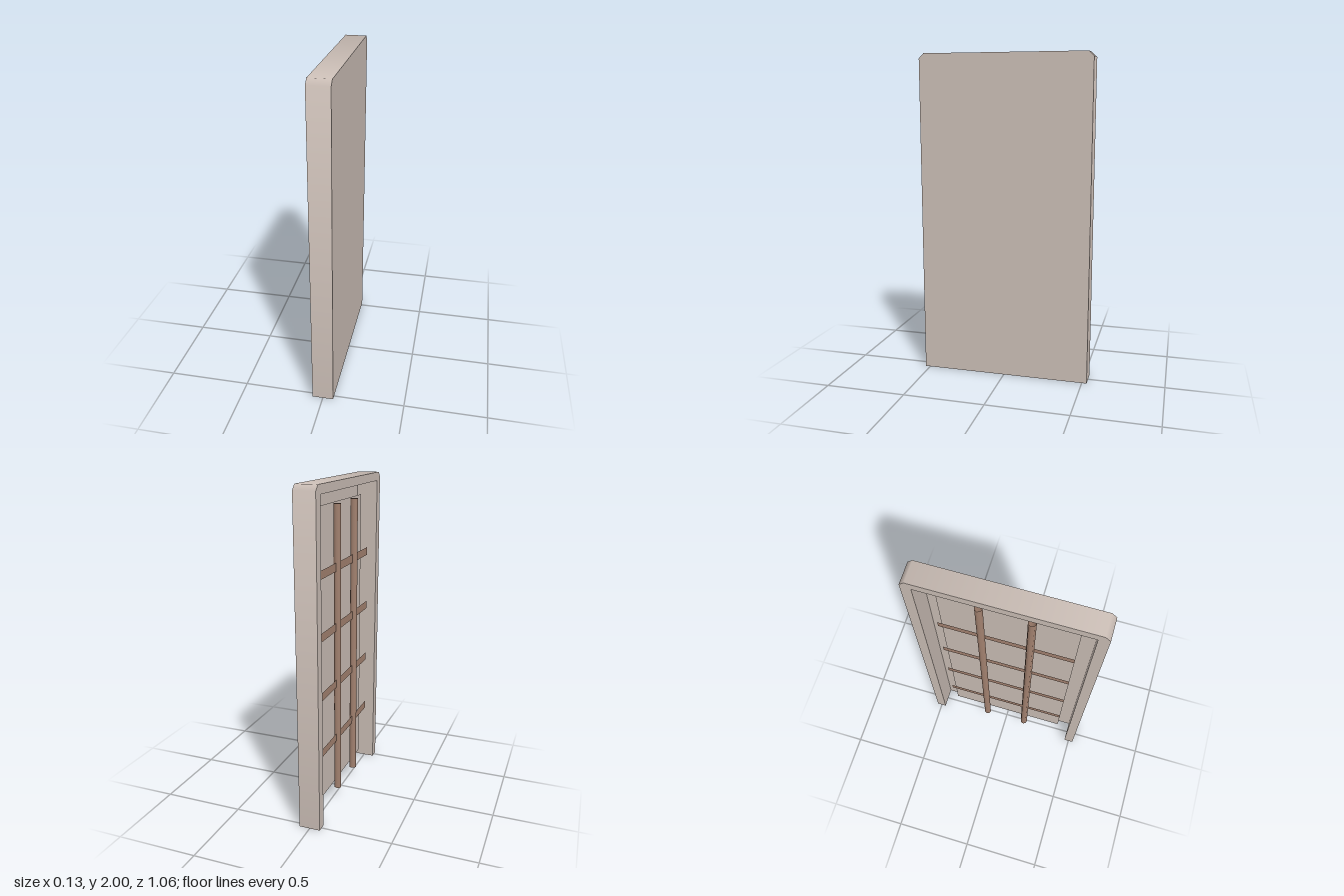
import * as THREE from 'three';

const HALF_X = 0.065, HALF_Z = 0.53, TOP = 2, CUT = 0.03;
const INNER_Z = 0.47, INNER_TOP = 1.948;

export function createModel() {
  const group = new THREE.Group();
  const shellMat = new THREE.MeshStandardMaterial({ color: 0xcbbeb6, side: THREE.DoubleSide });
  shellMat.name = 'pale grey';
  const woodMat = new THREE.MeshStandardMaterial({ color: 0xa38270, side: THREE.DoubleSide });
  woodMat.name = 'brown';

  const add = (name, geometry, material, x, y, z) => {
    const mesh = new THREE.Mesh(geometry, material);
    mesh.name = name;
    mesh.position.set(x, y, z);
    group.add(mesh);
  };

  // surround: arch with chamfered top corners, open at the bottom
  const outline = [
    [-HALF_Z, 0], [-INNER_Z, 0], [-INNER_Z, INNER_TOP], [INNER_Z, INNER_TOP], [INNER_Z, 0], [HALF_Z, 0],
    [HALF_Z, TOP - CUT], [HALF_Z - CUT, TOP], [CUT - HALF_Z, TOP], [-HALF_Z, TOP - CUT],
  ];
  const surround = new THREE.ExtrudeGeometry(
    new THREE.Shape(outline.map(([z, y]) => new THREE.Vector2(z, y))),
    { depth: 2 * HALF_X, bevelEnabled: false });
  // blend the shading over the chamfers
  const pos = surround.attributes.position, nor = surround.attributes.normal;
  for (let i = 0; i < pos.count; i++) {
    if (Math.abs(nor.getZ(i)) > 0.5 || pos.getY(i) < TOP - CUT - 0.001) continue;
    const angle = pos.getY(i) > TOP - 0.001 ? 3 * Math.PI / 8 : Math.PI / 8;
    nor.setXYZ(i, Math.sign(pos.getX(i)) * Math.cos(angle), Math.sin(angle), 0);
  }
  surround.rotateY(Math.PI / 2);
  add('surround', surround, shellMat, -HALF_X, 0, 0);

  // thin sheets facing the open side or the closed side
  const sheet = (name, material, width, height, x, y, turn) =>
    add(name, new THREE.PlaneGeometry(width, height).rotateY(turn * Math.PI / 2), material, x, y, 0);
  const low = 0.077, high = 1.868, middle = (low + high) / 2, width = 0.78, latticeX = -0.03;

  // closing sheet, and a smaller lining standing inside the recess
  sheet('panel', shellMat, 2 * INNER_Z, INNER_TOP, HALF_X, INNER_TOP / 2, 1);
  sheet('lining', shellMat, width, high - low, 0.015, middle, -1);

  // lattice: four flat cross slats and two open-ended round uprights
  for (let i = 1; i <= 4; i++) {
    sheet('crossSlat', woodMat, width, 0.05, latticeX, low + (high - low) * i / 5, -1);
  }
  for (const z of [-0.14, 0.14]) {
    const rod = new THREE.CylinderGeometry(0.023, 0.023, high - low, 8, 1, true);
    add('upright', rod, woodMat, latticeX, middle, z);
  }
  return group;
}
